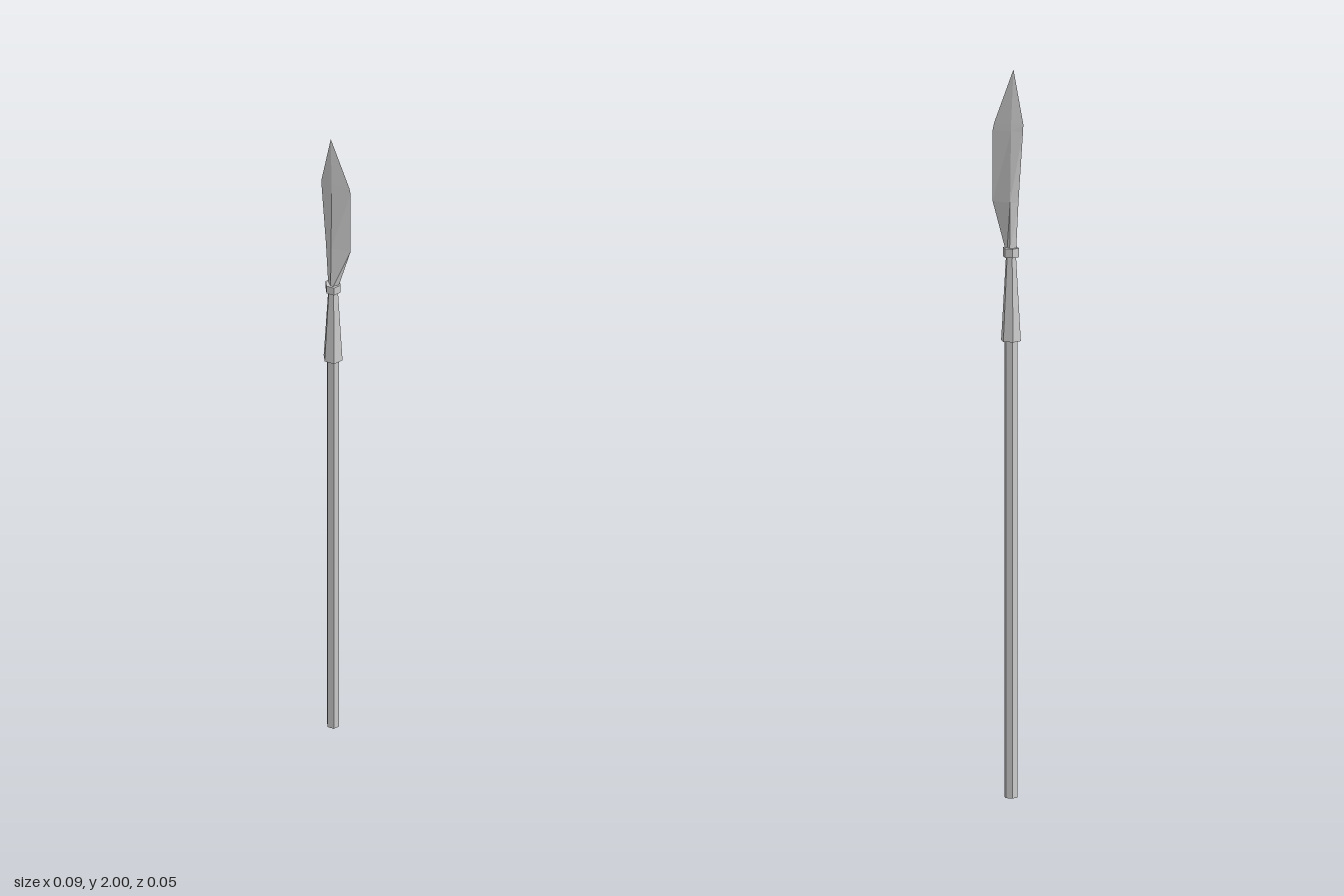
import * as THREE from 'three';

const AXIS_X = -0.01;
const material = new THREE.MeshStandardMaterial({ color: 0xcccccc, flatShading: true });

// Six-sided round part with corners on the x axis, from y0 to y1
function hexPart(name, rBottom, rTop, y0, y1) {
  const geo = new THREE.CylinderGeometry(rTop, rBottom, y1 - y0, 6, 1, false, Math.PI / 2);
  const mesh = new THREE.Mesh(geo, material);
  mesh.name = name;
  mesh.position.set(AXIS_X, (y0 + y1) / 2, 0);
  return mesh;
}

// Diamond cross-sections joined bottom to top: [y, left edge x, ridge x, right edge x, half thickness]
function blade() {
  const sections = [
    [1.49, -0.024, -0.011, 0.002, 0.015],
    [1.635, -0.031, -0.011, 0.042, 0.011],
    [1.83, -0.044, -0.012, 0.042, 0.006],
    [1.85, -0.045, -0.012, 0.038, 0.0055],
    [2.0, -0.017, -0.017, -0.017, 0],
  ];
  const positions = [];
  const index = [];
  sections.forEach(([y, left, ridge, right, t], s) => {
    positions.push(left, y, 0, ridge, y, t, right, y, 0, ridge, y, -t);
    if (s === sections.length - 1) return;
    for (let i = 0; i < 4; i++) {
      const a = s * 4 + i;
      const b = s * 4 + ((i + 1) % 4);
      index.push(a, b, b + 4);
      if (s < sections.length - 2) index.push(a, b + 4, a + 4);
    }
  });
  index.push(0, 2, 1, 0, 3, 2);
  const geo = new THREE.BufferGeometry();
  geo.setAttribute('position', new THREE.Float32BufferAttribute(positions, 3));
  geo.setIndex(index);
  const flat = geo.toNonIndexed();
  flat.computeVertexNormals();
  const mesh = new THREE.Mesh(flat, material);
  mesh.name = 'blade';
  return mesh;
}

export function createModel() {
  const group = new THREE.Group();
  group.name = 'spear';
  group.add(
    hexPart('shaft', 0.018, 0.018, 0, 1.28),
    hexPart('socketRim', 0.028, 0.027, 1.255, 1.27),
    hexPart('socket', 0.027, 0.014, 1.27, 1.49),
    hexPart('collar', 0.022, 0.022, 1.485, 1.51),
    blade(),
  );
  return group;
}
